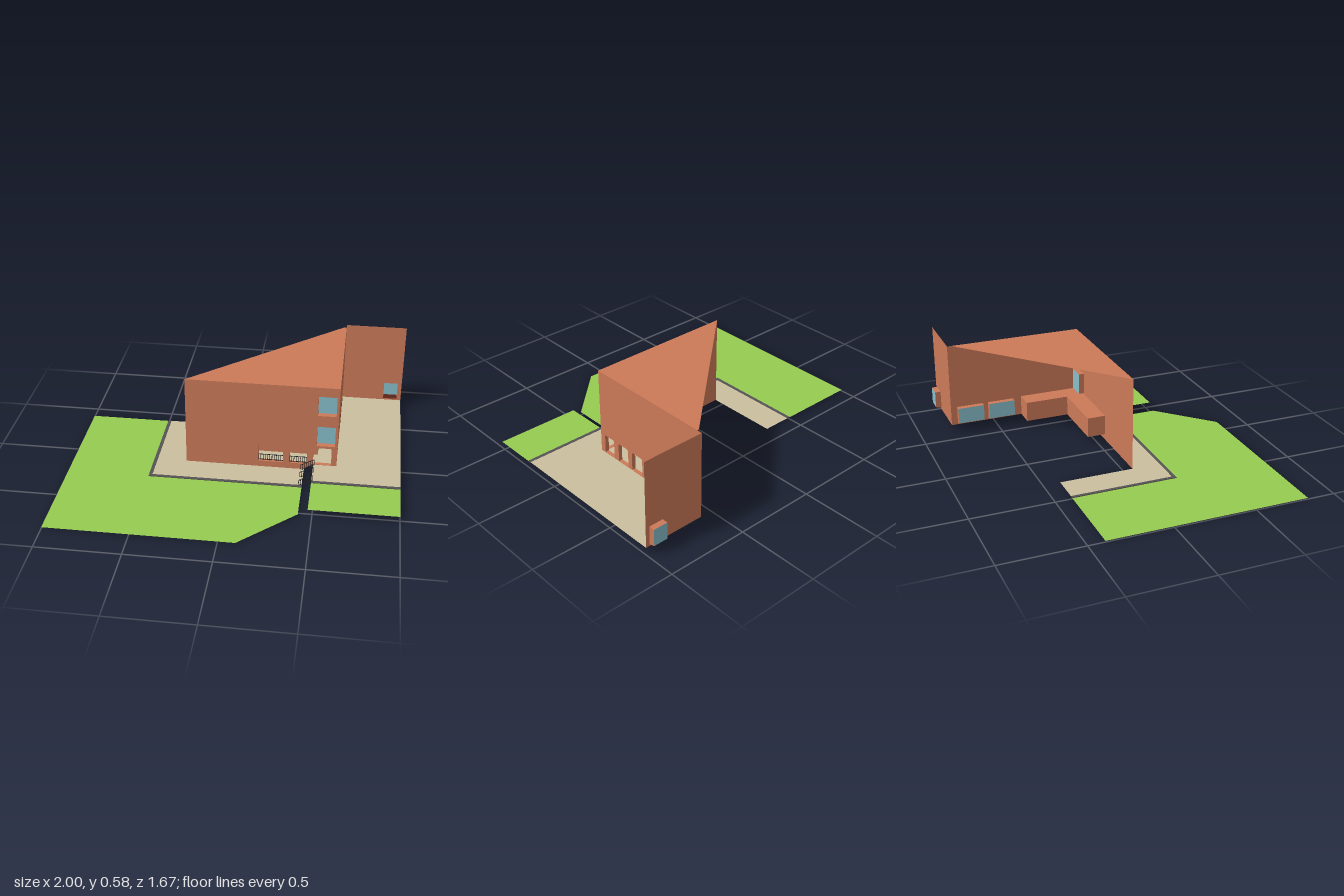
import * as THREE from 'three';

const paint = (color) => new THREE.MeshStandardMaterial({ color, side: THREE.DoubleSide });
const brick = paint(0xcc7a58), grass = paint(0x96cc50), paving = paint(0xcabf9e);
const dark = paint(0x565254), glass = paint(0x88bfcc), sillRed = paint(0x5a1e10), iron = paint(0x222222);

const LOW = 0.012, HIGH = 0.05, TOP = 0.585, CEIL = 0.176;
const FRONT = 0.055, SIDE = 0.615, BACK = -0.8;

function add(parent, geometry, material, name) {
  const mesh = new THREE.Mesh(geometry, material);
  mesh.name = name;
  parent.add(mesh);
  return mesh;
}

const outline = (points) => new THREE.Shape(points.map(([x, y]) => new THREE.Vector2(x, y)));

// Horizontal sheet from [x, z] corners
function sheet(parent, points, y, material, name) {
  const geometry = new THREE.ShapeGeometry(outline(points.map(([x, z]) => [x, -z])));
  geometry.rotateX(-Math.PI / 2).translate(0, y, 0);
  return add(parent, geometry, material, name);
}

function quad(parent, corners, material, name) {
  const geometry = new THREE.BufferGeometry();
  geometry.setAttribute('position', new THREE.Float32BufferAttribute(corners.flat(), 3));
  geometry.setIndex([0, 1, 2, 0, 2, 3]);
  geometry.computeVertexNormals();
  return add(parent, geometry, material, name);
}

function box(parent, x0, x1, y0, y1, z0, z1, material, name) {
  const mesh = add(parent, new THREE.BoxGeometry(x1 - x0, y1 - y0, z1 - z0), material, name);
  mesh.position.set((x0 + x1) / 2, (y0 + y1) / 2, (z0 + z1) / 2);
  return mesh;
}

// Opening with rounded upper corners
function archHole([u0, u1]) {
  const r = 0.014, t = 0.17, b = HIGH + 0.001;
  const p = new THREE.Path();
  p.moveTo(u0, b);
  p.lineTo(u0, t - r);
  p.quadraticCurveTo(u0, t, u0 + r, t);
  p.lineTo(u1 - r, t);
  p.quadraticCurveTo(u1, t, u1, t - r);
  p.lineTo(u1, b);
  p.closePath();
  return p;
}

const rectHole = ([u0, u1, v0, v1]) =>
  new THREE.Path([[u0, v0], [u0, v1], [u1, v1], [u1, v0]].map(([x, y]) => new THREE.Vector2(x, y)));

// Recessed window: brick reveals, sill rising to the glass
function addWindow(parent, [u0, u1, v0, v1], rise, depth) {
  const g = new THREE.Group();
  g.name = 'window';
  const d = -depth, s = v0 + rise;
  quad(g, [[u0, s, d], [u1, s, d], [u1, v1, d], [u0, v1, d]], glass, 'glass');
  quad(g, [[u0, v1, d], [u1, v1, d], [u1, v1, 0], [u0, v1, 0]], brick, 'windowHead');
  for (const u of [u0, u1]) quad(g, [[u, v0, 0], [u, s, d], [u, v1, d], [u, v1, 0]], brick, 'windowReveal');
  quad(g, [[u0, v0, 0], [u1, v0, 0], [u1, s, d], [u0, s, d]], rise ? sillRed : brick, 'windowSill');
  parent.add(g);
}

// Brick wall in its own plane, with windows and arcade piers
function addWall(parent, name, points, windows, arches, rise, depth) {
  const g = new THREE.Group();
  g.name = name;
  const shape = outline(points);
  shape.holes = [...windows.map(rectHole), ...arches.map(archHole)];
  add(g, new THREE.ShapeGeometry(shape, 4), brick, name + 'Face');
  windows.forEach((w) => addWindow(g, w, rise, depth));
  if (arches.length) {
    const a = arches[0][0] - 0.014, b = arches[arches.length - 1][1] + 0.014;
    const band = outline([[a, HIGH], [b, HIGH], [b, CEIL], [a, CEIL]]);
    band.holes = arches.map(archHole);
    const piers = new THREE.ExtrudeGeometry(band, { depth: 0.024, bevelEnabled: false, curveSegments: 4 });
    add(g, piers, brick, 'arcadePiers').position.z = -0.025;
  }
  parent.add(g);
  return g;
}

// Railing from x0 to x1, its foot rising from y0 to y1
function addRailing(parent, x0, x1, y0, y1, z, count) {
  const g = new THREE.Group();
  g.name = 'railing';
  const h = 0.042, t = 0.003;
  for (let i = 0; i <= count; i++) {
    const x = x0 + ((x1 - x0) * i) / count, y = y0 + ((y1 - y0) * i) / count;
    box(g, x - t / 2, x + t / 2, y, y + h, z - t / 2, z + t / 2, iron, 'baluster');
  }
  for (const lift of [0.006, h]) {
    const bar = add(g, new THREE.BoxGeometry(Math.hypot(x1 - x0, y1 - y0), t, t), iron, 'rail');
    bar.position.set((x0 + x1) / 2, (y0 + y1) / 2 + lift, z);
    bar.rotation.z = Math.atan2(y1 - y0, x1 - x0);
  }
  parent.add(g);
}

export function createModel() {
  const model = new THREE.Group();
  model.name = 'brickBuilding';

  // Lower ground: lawn, kerb and paved path
  sheet(model, [[-1, -0.4], [-0.505, -0.4], [-0.505, 0.25], [0.42, 0.25], [0.42, 0.52], [0.1, 0.83], [-1, 0.83]],
    LOW - 0.002, grass, 'lowerLawn');
  sheet(model, [[-0.485, -0.4], [-0.305, -0.4], [-0.305, FRONT], [0.42, FRONT], [0.42, 0.23], [-0.485, 0.23]],
    LOW, paving, 'lowerPath');
  box(model, -0.505, -0.485, LOW - 0.004, LOW + 0.002, -0.4, 0.25, dark, 'sideKerb');
  box(model, -0.485, 0.42, LOW - 0.004, LOW + 0.002, 0.23, 0.25, dark, 'frontKerb');

  // Upper ground: court, arcade floor, kerb and lawn
  sheet(model, [[0.475, 0.23], [0.475, FRONT], [0.125, FRONT], [0.125, -0.06], [0.495, -0.06], [0.495, -0.335],
    [SIDE, -0.335], [SIDE, BACK], [1, BACK], [1, 0.23]], HIGH, paving, 'upperCourt');
  box(model, 0.475, 1, HIGH - 0.005, HIGH + 0.001, 0.23, 0.25, dark, 'upperKerb');
  sheet(model, [[0.475, 0.25], [1, 0.25], [1, 0.52], [0.475, 0.52]], HIGH - 0.003, grass, 'upperLawn');

  // Outer walls
  const front = addWall(model, 'frontWall',
    [[-0.305, LOW], [0.41, LOW], [0.465, HIGH], [SIDE, HIGH], [SIDE, TOP], [-0.305, TOP]],
    [[0.49, 0.6, 0.185, 0.32], [0.49, 0.6, 0.395, 0.525]],
    [[0.14, 0.29], [0.33, 0.435], [0.472, 0.582]], 0, 0.035);
  front.position.z = FRONT;

  const side = addWall(model, 'sideWall',
    [[-FRONT, HIGH], [-BACK, HIGH], [-BACK, TOP], [-FRONT, TOP]],
    [[0.39, 0.557, 0.06, 0.17], [0.593, 0.76, 0.06, 0.17]],
    [[-0.02, 0.065], [0.103, 0.19], [0.223, 0.314]], 0.01, 0.035);
  side.rotation.y = Math.PI / 2;
  side.position.x = SIDE;

  const wing = addWall(model, 'backWall',
    [[SIDE, HIGH], [1, HIGH], [1, TOP], [SIDE, TOP]], [[0.885, 0.975, 0.06, 0.175]], [], 0.01, 0.036);
  wing.position.z = BACK;

  // Triangular roof
  sheet(model, [[-0.305, FRONT], [SIDE, FRONT], [SIDE, -0.765], [0.603, -0.765]], TOP, brick, 'roof');

  // L-shaped arcade: inner walls and ceiling
  const inner = [[0.125, FRONT], [0.125, -0.06], [0.495, -0.06], [0.495, -0.335], [SIDE, -0.335]];
  for (let i = 1; i < inner.length; i++) {
    const [xa, za] = inner[i - 1], [xb, zb] = inner[i];
    quad(model, [[xa, HIGH, za], [xb, HIGH, zb], [xb, CEIL, zb], [xa, CEIL, za]], brick, 'arcadeInnerWall');
  }
  sheet(model, [...inner, [SIDE, FRONT]], CEIL, brick, 'arcadeCeiling');

  // Railings in the arcade openings and beside the steps
  addRailing(model, 0.14, 0.29, HIGH, HIGH, FRONT - 0.012, 11);
  addRailing(model, 0.33, 0.435, HIGH, HIGH, FRONT - 0.012, 8);
  for (const z of [0.062, 0.142, 0.228]) addRailing(model, 0.4, 0.48, 0.003, HIGH - 0.002, z, 7);

  // Small drinking fountain in the arcade
  box(model, 0.44, 0.465, 0.066, 0.095, -0.035, -0.003, paint(0xaaaaaa), 'fountainBasin');
  box(model, 0.447, 0.458, HIGH, 0.066, -0.025, -0.013, paint(0xaaaaaa), 'fountainStem');

  return model;
}
